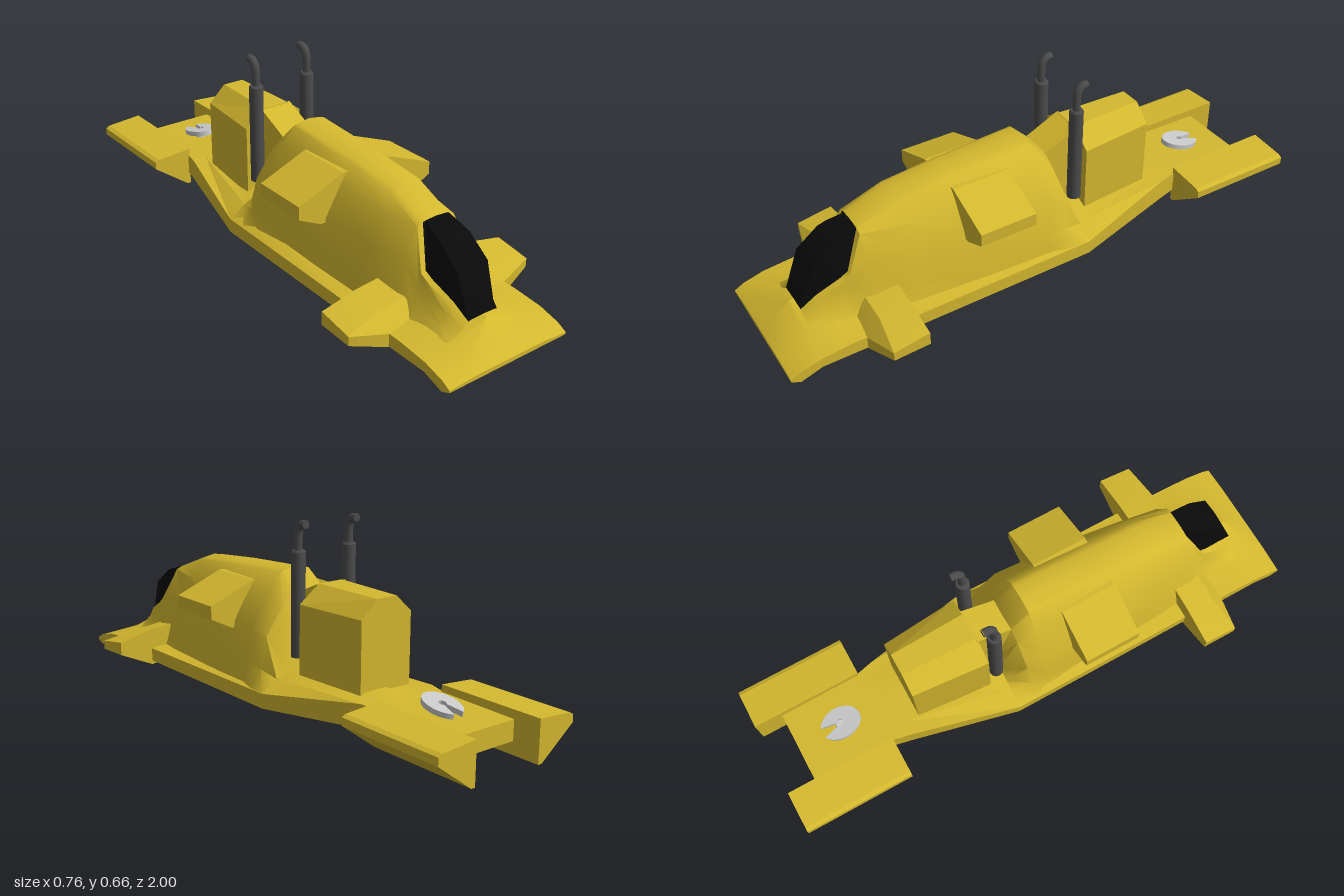
import * as THREE from 'three';
import { toCreasedNormals } from 'three/addons/utils/BufferGeometryUtils.js';

const mat = (color, side = THREE.FrontSide) => new THREE.MeshStandardMaterial({ color, side });
const YELLOW = mat(0xd4b82e), SKIN = mat(0xd4b82e, THREE.DoubleSide);
const DARK = mat(0x4c4c4c), BLACK = mat(0x0a0a0a, THREE.DoubleSide), GREY = mat(0xcccccc);

// Skin over rows of [x, y, z] points; closed rows wrap round and get end caps
function loft(rows, { closed = false, keep = () => true, crease = 0.5 } = {}) {
  const n = rows[0].length, index = [], last = (rows.length - 1) * n;
  for (let r = 0; r < rows.length - 1; r++) {
    for (let c = 0; c < (closed ? n : n - 1); c++) {
      if (!keep(r, c)) continue;
      const a = r * n + c, b = r * n + (c + 1) % n;
      index.push(a, a + n, b, b, a + n, b + n);
    }
  }
  if (closed) {
    for (let i = 1; i < n - 1; i++) index.push(0, i, i + 1, last, last + i + 1, last + i);
  }
  const g = new THREE.BufferGeometry();
  g.setAttribute('position', new THREE.Float32BufferAttribute(rows.flat(2), 3));
  g.setIndex(index);
  return toCreasedNormals(g, crease);
}

// Half section from the +x edge to the centre line, mirrored to a full row
function fullRow([z, ...half]) {
  const right = half.map(([x, y]) => [x, y, z]);
  return [...right, ...right.slice(0, -1).reverse().map(([x, y]) => [-x, y, z])];
}

function extrude(points, z0, z1) {
  const shape = new THREE.Shape(points.map(p => new THREE.Vector2(...p)));
  return new THREE.ExtrudeGeometry(shape, { depth: z1 - z0, bevelEnabled: false }).translate(0, 0, z0);
}

export function createModel() {
  const model = new THREE.Group();
  const add = (name, geometry, material = YELLOW) => {
    const mesh = new THREE.Mesh(geometry, material);
    mesh.name = name;
    model.add(mesh);
    return mesh;
  };
  const pair = (name, geometry, material) => {
    add(name + 'Left', geometry, material);
    add(name + 'Right', geometry, material).scale.x = -1;
  };

  // Hull: z, then bottom edge, top edge, deck and centre line
  add('hull', loft([
    [0.998, [0.245, 0.015], [0.245, 0.022], [0.145, 0.03], [0, 0.03]],
    [0.965, [0.245, 0], [0.245, 0.04], [0.145, 0.048], [0, 0.06]],
    [0.89, [0.245, 0.025], [0.245, 0.06], [0.14, 0.07], [0, 0.118]],
    [0.78, [0.245, 0.025], [0.245, 0.07], [0.145, 0.085], [0, 0.12]],
    [0.5, [0.245, 0.025], [0.245, 0.074], [0.18, 0.078], [0, 0.1]],
    [-0.14, [0.245, 0.028], [0.245, 0.08], [0.18, 0.12], [0, 0.19]],
    [-0.53, [0.155, 0.052], [0.155, 0.133], [0.1, 0.133], [0, 0.135]],
    [-0.6, [0.14, 0.055], [0.14, 0.13], [0.09, 0.13], [0, 0.13]],
    [-0.9, [0.137, 0.055], [0.137, 0.125], [0.09, 0.125], [0, 0.125]],
  ].map(fullRow), { closed: true }));

  // Cabin body: columns are base, flank, shoulder, frame, roof edge, roof, centre
  const cabin = [
    [0.875, [0.15, 0.068], [0.11, 0.08], [0.085, 0.098], [0.067, 0.112], [0.06, 0.118], [0.05, 0.12], [0, 0.122]],
    [0.82, [0.15, 0.07], [0.12, 0.1], [0.1, 0.13], [0.086, 0.158], [0.073, 0.165], [0.062, 0.262], [0, 0.272]],
    [0.74, [0.16, 0.072], [0.13, 0.11], [0.112, 0.16], [0.103, 0.2], [0.086, 0.207], [0.06, 0.325], [0, 0.332]],
    [0.71, [0.165, 0.072], [0.135, 0.12], [0.118, 0.18], [0.107, 0.222], [0.088, 0.225], [0.058, 0.336], [0, 0.342]],
    [0.65, [0.175, 0.073], [0.15, 0.14], [0.125, 0.25], [0.075, 0.345], [0.053, 0.355], [0.04, 0.357], [0, 0.36]],
    [0.5, [0.19, 0.074], [0.172, 0.14], [0.15, 0.25], [0.107, 0.345], [0.063, 0.408], [0.045, 0.414], [0, 0.422]],
    [0.3, [0.205, 0.075], [0.193, 0.15], [0.17, 0.265], [0.11, 0.37], [0.063, 0.428], [0.045, 0.433], [0, 0.44]],
    [0, [0.225, 0.08], [0.205, 0.15], [0.185, 0.275], [0.11, 0.39], [0.062, 0.447], [0.045, 0.451], [0, 0.458]],
    [-0.07, [0.24, 0.08], [0.2, 0.14], [0.175, 0.25], [0.105, 0.345], [0.06, 0.378], [0.045, 0.381], [0, 0.385]],
    [-0.14, [0.245, 0.08], [0.185, 0.12], [0.15, 0.135], [0.1, 0.155], [0.06, 0.17], [0.045, 0.175], [0, 0.19]],
  ].map(fullRow);
  const isGlass = (r, c) => r < 4 && c >= 4 && c < 8;
  add('cabin', loft(cabin, { keep: (r, c) => !isGlass(r, c), crease: 0.7 }), SKIN);
  add('windscreen', loft(cabin, { keep: isGlass, crease: 0.7 }), BLACK);

  // Front winglets, lofted outward from the hull
  const winglet = [
    [0.11, [0.73, 0.03], [0.73, 0.07], [0.68, 0.14], [0.57, 0.16], [0.57, 0.03]],
    [0.245, [0.73, 0.022], [0.73, 0.07], [0.68, 0.125], [0.57, 0.147], [0.57, 0.01]],
    [0.378, [0.7, 0.065], [0.7, 0.097], [0.66, 0.104], [0.57, 0.118], [0.57, 0.07]],
  ].map(([x, ...pts]) => pts.map(([z, y]) => [x, y, z]));
  pair('winglet', loft(winglet, { closed: true, crease: 0.3 }));

  // Shoulder pods on the cabin flanks
  pair('shoulderPod', extrude([
    [0.08, 0.405], [0.08, 0.27], [0.15, 0.245], [0.19, 0.245], [0.278, 0.288], [0.278, 0.335], [0.1, 0.405],
  ], 0.108, 0.318));

  // Engine housing, narrowing to the rear
  const housing = extrude([
    [-0.13, 0.1], [0.13, 0.1], [0.13, 0.38], [0.05, 0.44], [-0.05, 0.44], [-0.13, 0.38],
  ], -0.475, -0.195);
  const p = housing.attributes.position;
  for (let i = 0; i < p.count; i++) {
    if (p.getZ(i) < -0.4) p.setX(i, p.getX(i) * 0.81);
  }
  housing.computeVertexNormals();
  add('engineHousing', housing);

  // Sloped duct between cabin and housing: side outline turned to run across x
  add('intakeDuct', extrude([
    [0.07, 0.15], [0.2, 0.15], [0.2, 0.44], [0.07, 0.38],
  ], -0.062, 0.062).rotateY(Math.PI / 2));

  // Exhaust stacks with bent tips
  const bend = new THREE.CatmullRomCurve3([
    [0, 0.54, -0.16], [0, 0.6, -0.16], [0, 0.626, -0.164], [0, 0.642, -0.178], [0, 0.645, -0.2],
  ].map(v => new THREE.Vector3(...v)));
  pair('exhaustSleeve', new THREE.CylinderGeometry(0.025, 0.025, 0.36, 12).translate(0.109, 0.37, -0.16), DARK);
  pair('exhaustCollar', new THREE.CylinderGeometry(0.021, 0.025, 0.006, 12).translate(0.109, 0.553, -0.16), DARK);
  pair('exhaustTip', new THREE.TubeGeometry(bend, 16, 0.0145, 10).translate(0.109, 0, 0), DARK);
  pair('exhaustEnd', new THREE.CircleGeometry(0.0145, 10).rotateY(Math.PI).translate(0.109, 0.645, -0.2), DARK);

  // Rear side pods
  pair('rearPod', extrude([
    [0.135, 0.01], [0.15, 0.01], [0.285, 0.11], [0.285, 0.137], [0.27, 0.145], [0.135, 0.155],
  ], -1, -0.595));

  // Coupling plate with a tapering slot open to the rear
  const plate = new THREE.Shape();
  plate.moveTo(0.006, 0.012);
  plate.absellipse(0, 0, 0.055, 0.075, Math.PI / 2 - 0.35, Math.PI / 2 + 0.35, true, 0);
  plate.lineTo(-0.006, 0.012);
  plate.absarc(0, 0, 0.013, Math.PI / 2 + 0.45, Math.PI / 2 - 0.45, false);
  const coupling = add('couplingPlate', new THREE.ExtrudeGeometry(plate, {
    depth: 0.018, bevelEnabled: false, curveSegments: 32,
  }).rotateX(-Math.PI / 2), GREY);
  coupling.position.set(0, 0.142, -0.728);
  coupling.rotation.x = -0.2;
  add('couplingPost', new THREE.CylinderGeometry(0.02, 0.025, 0.03, 12).translate(0, 0.132, -0.728), GREY);

  return model;
}
